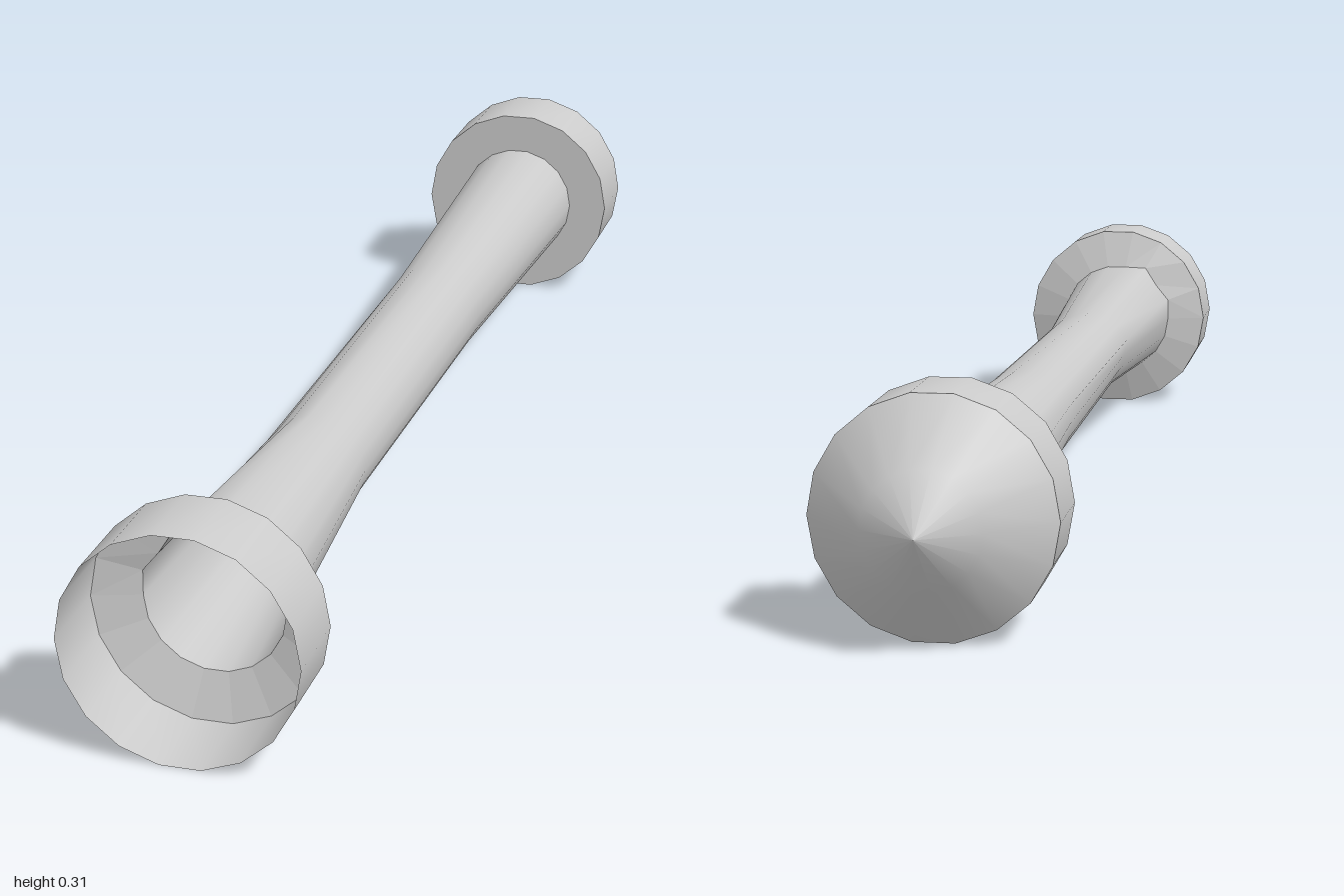
import * as THREE from 'three';

const SIDES = 18;
const AXIS_Y = 0.153;
const material = new THREE.MeshStandardMaterial({ color: 0xcccccc, side: THREE.DoubleSide });

// Dented facets on the upper right side of the shaft: side index -> radius factor
const endDent = { 6: 1.12, 8: 1.06 };
const waistDent = { 5: 1.1, 6: 1.12, 7: 1.12, 8: 1.2, 9: 1.03 };

// Skin through round sections [z, radius, dent], listed from front to back
function loft(name, sections, flat = false) {
  const positions = [];
  const index = [];
  sections.forEach(([z, r, dent = {}], i) => {
    for (let j = 0; j < SIDES; j++) {
      const angle = (j / SIDES) * Math.PI * 2;
      const radius = r * (dent[j] ?? 1);
      positions.push(Math.cos(angle) * radius, Math.sin(angle) * radius, z);
      if (i === sections.length - 1) continue;
      const a = i * SIDES + j;
      const b = i * SIDES + ((j + 1) % SIDES);
      index.push(a, a + SIDES, b, b, a + SIDES, b + SIDES);
    }
  });
  let geometry = new THREE.BufferGeometry();
  geometry.setAttribute('position', new THREE.Float32BufferAttribute(positions, 3));
  geometry.setIndex(index);
  if (flat) geometry = geometry.toNonIndexed();
  geometry.computeVertexNormals();
  const mesh = new THREE.Mesh(geometry, material);
  mesh.name = name;
  return mesh;
}

export function createModel() {
  const model = new THREE.Group();
  model.name = 'hollowRod';

  // Open cup at the front, narrowing to the shaft
  const cup = new THREE.Group();
  cup.name = 'frontCup';
  cup.add(
    loft('cupWall', [[1, 0.155], [0.88, 0.155]]),
    loft('cupShoulder', [[0.88, 0.155], [0.86, 0.093, endDent]], true)
  );

  // Waisted hollow shaft
  const shaft = loft('shaft', [
    [0.86, 0.093, endDent],
    [0.42, 0.066, waistDent],
    [-0.2, 0.071, { 6: 1.04, 7: 1.05, 8: 1.06 }],
    [-0.76, 0.093],
  ]);

  // Capped head at the back with a rounded point
  const head = new THREE.Group();
  head.name = 'backHead';
  head.add(
    loft('headFace', [[-0.76, 0.093], [-0.76, 0.155]]),
    loft('headWall', [[-0.76, 0.155], [-0.88, 0.155]]),
    loft('headPoint', [[-0.88, 0.155], [-0.954, 0.075], [-1, 0]])
  );

  model.add(cup, shaft, head);
  model.children.forEach((part) => { part.position.y = AXIS_Y; });
  return model;
}
